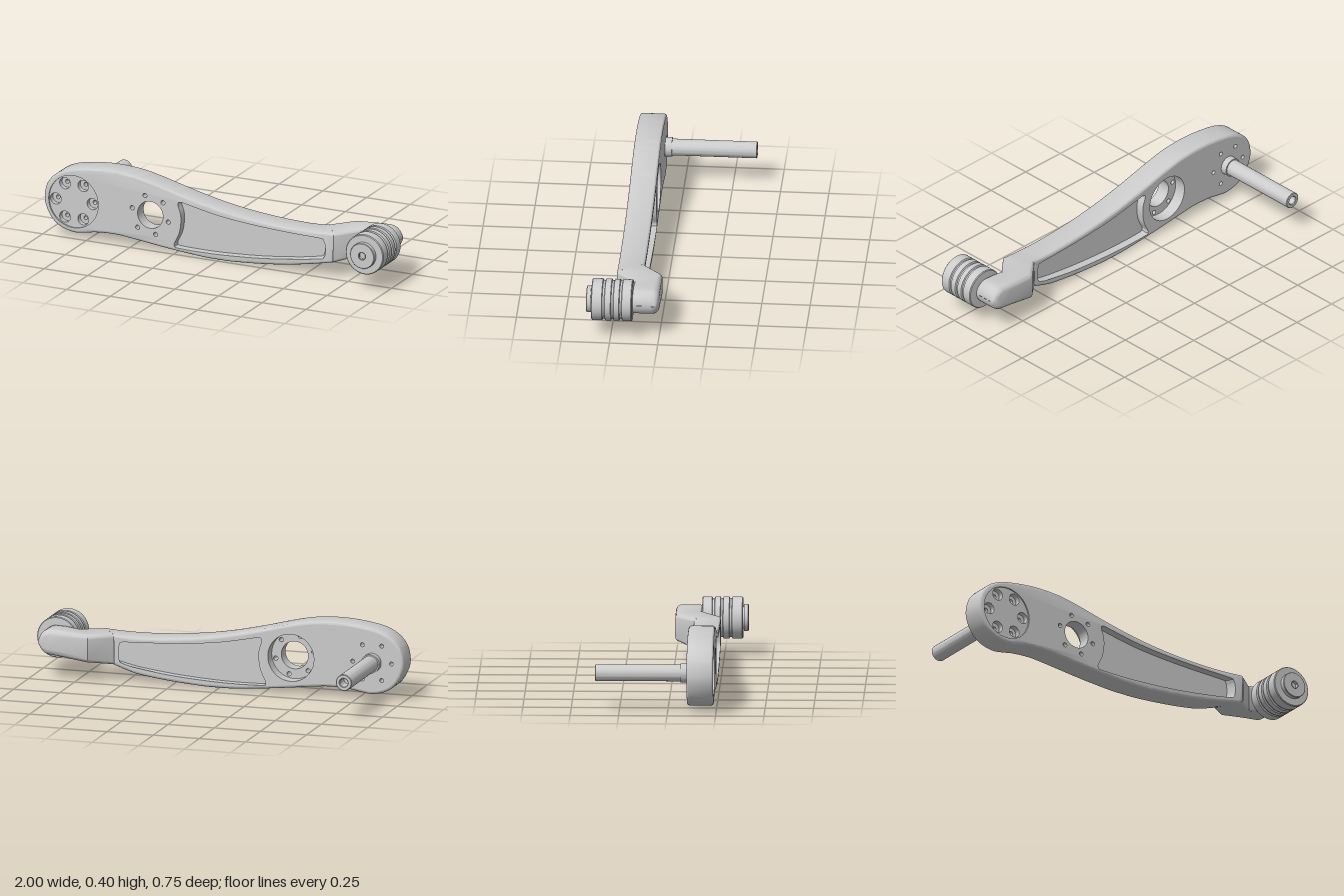
import * as THREE from 'three';
import { toCreasedNormals, mergeGeometries } from 'three/addons/utils/BufferGeometryUtils.js';

const FRONT = 0.237, BACK = 0.1, EDGE = 0.015;
const HUB = [-0.83, 0.197], BORE = [-0.39, 0.19], ROLLER = [0.89, 0.197];

const material = new THREE.MeshStandardMaterial({ color: 0xcccccc, side: THREE.DoubleSide });

function mesh(name, geometry) {
  const m = new THREE.Mesh(toCreasedNormals(geometry, 0.6), material);
  m.name = name;
  return m;
}

// Surface through a list of rings of equal length
function skin(rings, closed = true) {
  const n = rings[0].length, index = [];
  for (let r = 0; r < rings.length - 1; r++) {
    for (let i = 0; i < (closed ? n : n - 1); i++) {
      const j = (i + 1) % n, a = r * n + i, b = r * n + j;
      index.push(a, b, b + n, a, b + n, a + n);
    }
  }
  const g = new THREE.BufferGeometry().setFromPoints(rings.flat());
  g.setIndex(index);
  return g.toNonIndexed();
}

const wall = (loop, z0, z1) =>
  skin([z0, z1].map(z => loop.map(p => new THREE.Vector3(p.x, p.y, z))));

// Flat face with holes
function face(loop, holes, z) {
  const shape = new THREE.Shape(loop);
  shape.holes = holes.map(h => new THREE.Path(h));
  const g = new THREE.ShapeGeometry(shape).translate(0, 0, z).toNonIndexed();
  g.deleteAttribute('uv');
  g.deleteAttribute('normal');
  return g;
}

function circle([x, y], r, n = 32) {
  return Array.from({ length: n }, (_, i) => {
    const a = i / n * Math.PI * 2;
    return new THREE.Vector2(x + r * Math.cos(a), y + r * Math.sin(a));
  });
}

const boltCircle = ([x, y], R, r, start) => Array.from({ length: 6 }, (_, i) => {
  const a = start + i * Math.PI / 3;
  return circle([x + R * Math.cos(a), y + R * Math.sin(a)], r, 16);
});

const curve = (pts, n) =>
  new THREE.SplineCurve(pts.map(p => new THREE.Vector2(...p))).getPoints(n);

// Move an outline inwards
function inset(loop, d) {
  return loop.map((p, i) => {
    const t = loop[Math.min(i + 1, loop.length - 1)].clone().sub(loop[Math.max(i - 1, 0)]).normalize();
    return new THREE.Vector2(p.x - t.y * d, p.y + t.x * d);
  });
}

// Slant the neck end of the plate so that it meets the jog
function slant(g) {
  const p = g.attributes.position;
  for (let i = 0; i < p.count; i++) {
    const x = p.getX(i);
    if (x > 0.45) p.setX(i, x - (x - 0.45) / 0.21 * (FRONT - p.getZ(i)) * 0.66);
  }
  return g;
}

function armPlate() {
  const outline = curve([
    [0.66, 0.243], [0.55, 0.237], [0.4, 0.237], [0.2, 0.25], [0, 0.277], [-0.2, 0.32], [-0.38, 0.366],
    [-0.5, 0.389], [-0.62, 0.396], [-0.73, 0.39], [-0.85, 0.37], [-0.93, 0.335], [-0.982, 0.277],
    [-1, 0.2], [-0.985, 0.135], [-0.95, 0.08], [-0.9, 0.045], [-0.83, 0.028], [-0.77, 0.034],
    [-0.7, 0.046], [-0.6, 0.051], [-0.5, 0.043], [-0.3, 0.02], [-0.1, 0.003], [0, 0.001],
    [0.1, 0.003], [0.3, 0.02], [0.5, 0.05], [0.66, 0.083]], 150);
  const pocket = curve([
    [-0.215, 0.285], [-0.231, 0.278], [-0.23, 0.26], [-0.217, 0.22], [-0.215, 0.17], [-0.226, 0.11],
    [-0.25, 0.06], [-0.252, 0.043], [-0.235, 0.033], [-0.1, 0.03], [0.05, 0.034], [0.25, 0.048],
    [0.45, 0.073], [0.58, 0.094], [0.603, 0.103], [0.612, 0.125], [0.612, 0.17], [0.603, 0.195],
    [0.58, 0.206], [0.4, 0.211], [0.2, 0.222], [0, 0.243], [-0.2, 0.282], [-0.215, 0.285]], 110).slice(0, -1);

  // Rounded rim of the plate
  const rim = [];
  for (let i = 0; i <= 5; i++) {
    const a = i / 5 * Math.PI / 2;
    rim.push([EDGE * (1 - Math.sin(a)), BACK + EDGE * (1 - Math.cos(a))]);
  }
  rim.push(...rim.map(([d, z]) => [d, BACK + FRONT - z]).reverse());
  const parts = [skin(rim.map(([d, z]) => inset(outline, d).map(p => new THREE.Vector3(p.x, p.y, z))), false)];

  const hubDisc = circle(HUB, 0.142, 48), hole = circle(BORE, 0.073, 40), counterbore = circle(BORE, 0.125, 40);
  const wide = boltCircle(HUB, 0.105, 0.031, 0), narrow = boltCircle(HUB, 0.105, 0.011, 0);
  const small = boltCircle(BORE, 0.106, 0.012, -0.227);
  const flat = inset(outline, EDGE), ledge = 0.165, seat = 0.2;

  // Front and back faces
  parts.push(face(flat, [hubDisc, hole, pocket, ...small], FRONT));
  parts.push(face(flat, [counterbore, pocket, ...narrow], BACK));
  // Pockets with a thin web between them
  for (const [z, floor] of [[FRONT, 0.193], [BACK, 0.144]])
    parts.push(wall(pocket, floor, z), face(pocket, [], floor));
  // Through hole with a stepped ledge at the back
  parts.push(wall(hole, ledge, FRONT), wall(counterbore, BACK, ledge), face(counterbore, [hole, ...small], ledge));
  small.forEach(h => parts.push(wall(h, ledge, FRONT)));
  // Recessed hub disc with six bolt seats
  parts.push(wall(hubDisc, 0.229, FRONT), face(hubDisc, wide, 0.229));
  wide.forEach((h, i) => parts.push(
    wall(h, seat, 0.229), face(h, [narrow[i]], seat), wall(narrow[i], BACK, seat), face(narrow[i], [], 0.15)));
  return mesh('armPlate', slant(mergeGeometries(parts)));
}

// One rounded section of the neck, from its back edge to its front edge
function neckSection([xb, zb, xf, zf, y0, y1, rb, rf]) {
  const w = zf - zb, h = y1 - y0, ring = [];
  const corners = [[0, 0, rb], [1, 0, rf], [1, 1, rf], [0, 1, rb]];
  corners.forEach(([s, t, radius], c) => {
    const r = Math.min(radius, h / 2);
    for (let i = 0; i <= 6; i++) {
      const a = Math.PI + (c + i / 6) * Math.PI / 2;
      const u = (s ? w - radius : radius) + radius * Math.cos(a);
      const v = (t ? h - r : r) + r * Math.sin(a);
      ring.push(new THREE.Vector3(xb + (xf - xb) * u / w, y0 + v, zb + u));
    }
  });
  return ring;
}

function neck() {
  const sections = [
    [0.57, 0.1, 0.66, FRONT, 0.083, 0.243, EDGE, EDGE],
    [0.68, 0.001, 0.77, 0.137, 0.105, 0.253, 0.025, EDGE],
    [0.83, 0, 0.84, 0.137, 0.124, 0.263, 0.032, EDGE]];
  // Round tip
  for (let i = 0; i <= 8; i++) {
    const a = i / 8 * Math.PI / 2, x = 0.887 + 0.067 * Math.sin(a), h = 0.067 * Math.cos(a) + 0.0005;
    const back = 0.02 * (1 - Math.cos(a));
    sections.push([x, back, x, 0.137, 0.197 - h, 0.197 + h, 0.034, EDGE]);
  }
  return mesh('neck', skin(sections.map(neckSection)));
}

// Turned part along z, from [radius, z] points
function turned(name, [x, y], profile, sides = 40) {
  const g = new THREE.LatheGeometry(profile.map(p => new THREE.Vector2(...p)), sides);
  return mesh(name, g.rotateX(Math.PI / 2).translate(x, y, 0));
}

export function createModel() {
  const model = new THREE.Group();
  model.add(armPlate(), neck());

  // Hollow shaft with collar
  model.add(turned('shaft', HUB, [[0, -0.3], [0.022, -0.3], [0.022, -0.372], [0.025, -0.375],
    [0.04, -0.375], [0.043, -0.372], [0.043, 0.065], [0.05, 0.065], [0.05, 0.105]]));

  // Grooved roller
  const R = 0.108, profile = [[0, 0.132], [0.104, 0.137], [R, 0.141]];
  for (const z of [0.195, 0.238, 0.284])
    profile.push([R, z - 0.008], [R - 0.008, z - 0.005], [R - 0.008, z + 0.005], [R, z + 0.008]);
  profile.push([R, 0.343], [0.104, 0.347], [0, 0.347]);
  model.add(turned('roller', ROLLER, profile, 48));

  // End cap on a short spacer, with a hexagonal socket
  model.add(turned('capSpacer', ROLLER, [[0.06, 0.345], [0.06, 0.352]]));
  model.add(turned('endCap', ROLLER, [[0, 0.351], [0.069, 0.351], [0.069, 0.372], [0.066, 0.375], [0.021, 0.375]]));
  model.add(turned('capSocket', ROLLER, [[0.021, 0.375], [0.021, 0.358], [0, 0.358]], 6));
  return model;
}
